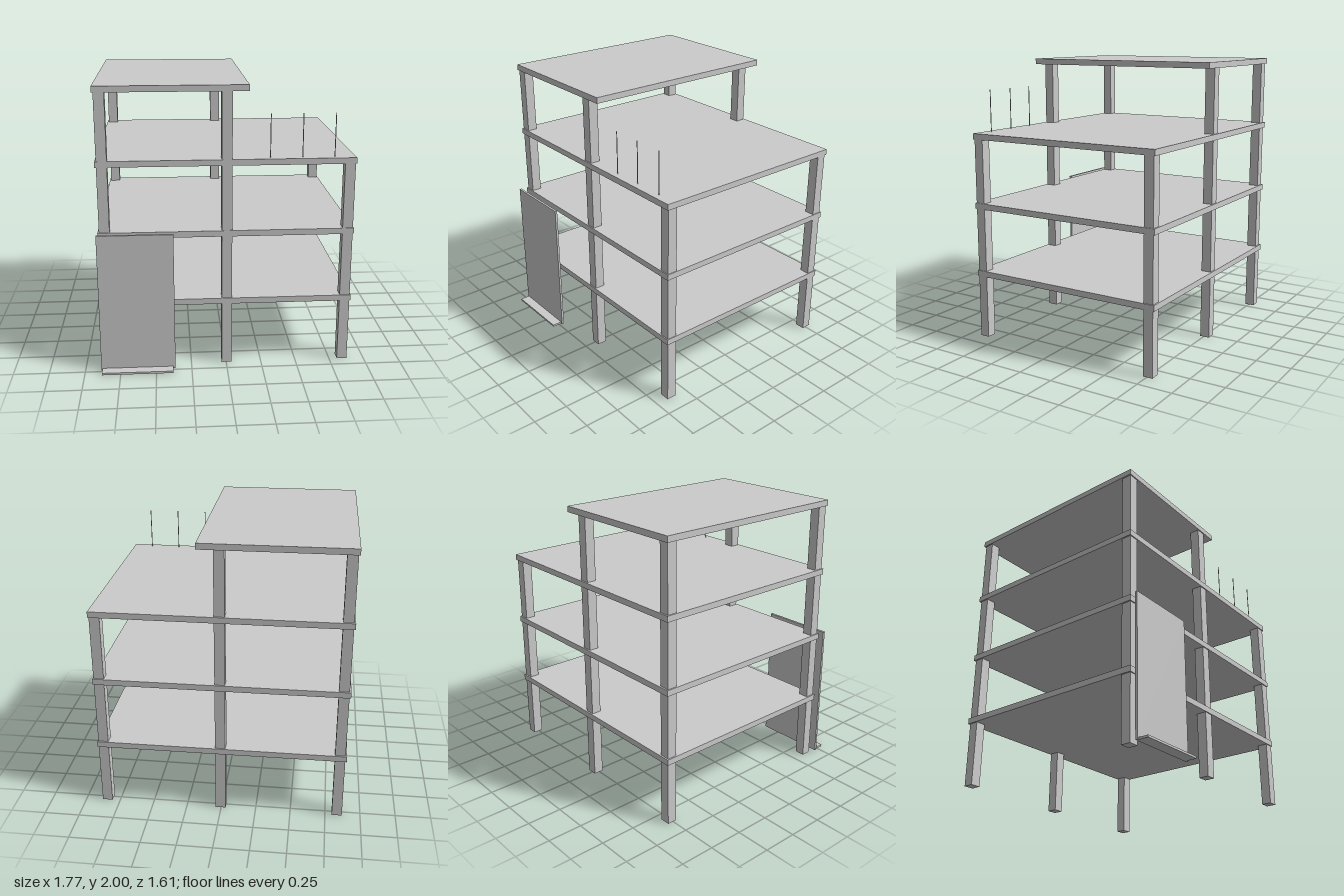
import * as THREE from 'three';

const grey = new THREE.MeshStandardMaterial({ color: 0xcccccc, flatShading: true });

// Box given by its low and high limits on each axis
function box(name, [x0, x1], [y0, y1], [z0, z1]) {
  const mesh = new THREE.Mesh(new THREE.BoxGeometry(x1 - x0, y1 - y0, z1 - z0), grey);
  mesh.name = name;
  mesh.position.set((x0 + x1) / 2, (y0 + y1) / 2, (z0 + z1) / 2);
  return mesh;
}

export function createModel() {
  const model = new THREE.Group();
  model.name = 'buildingFrame';
  const depth = [-0.803, 0.67];
  const slab = 0.042;

  // Three full floors and a shorter roof
  [0.5, 1, 1.5].forEach((top, i) =>
    model.add(box(`floorSlab${i + 1}`, [-0.88, 0.885], [top - slab, top], depth)));
  model.add(box('roofSlab', [-0.88, 0.15], [2 - slab, 2], depth));

  // Columns, front and back; the +x pair stops below the terrace
  const rows = { front: [0.592, 0.662], back: [-0.792, -0.722] };
  const columns = [['right', -0.87, 1.97], ['middle', -0.032, 1.97], ['left', 0.807, 1.47]];
  for (const [row, z] of Object.entries(rows)) {
    for (const [side, x, top] of columns) {
      model.add(box(`${row}Column_${side}`, [x, x + 0.072], [0, top], z));
    }
  }

  // Thin rods standing on the terrace
  for (const x of [0.3, 0.52, 0.74]) {
    const rod = new THREE.Mesh(new THREE.CylinderGeometry(0.003, 0.003, 0.3, 8), grey);
    rod.name = 'terraceRod';
    rod.position.set(x, 1.65, 0.625);
    model.add(rod);
  }

  // Free-standing panel with a low step in front
  model.add(box('entrancePanel', [-0.888, -0.365], [0, 1], [0.714, 0.731]));
  model.add(box('entranceStep', [-0.88, -0.38], [0, 0.015], [0.725, 0.803]));
  return model;
}
